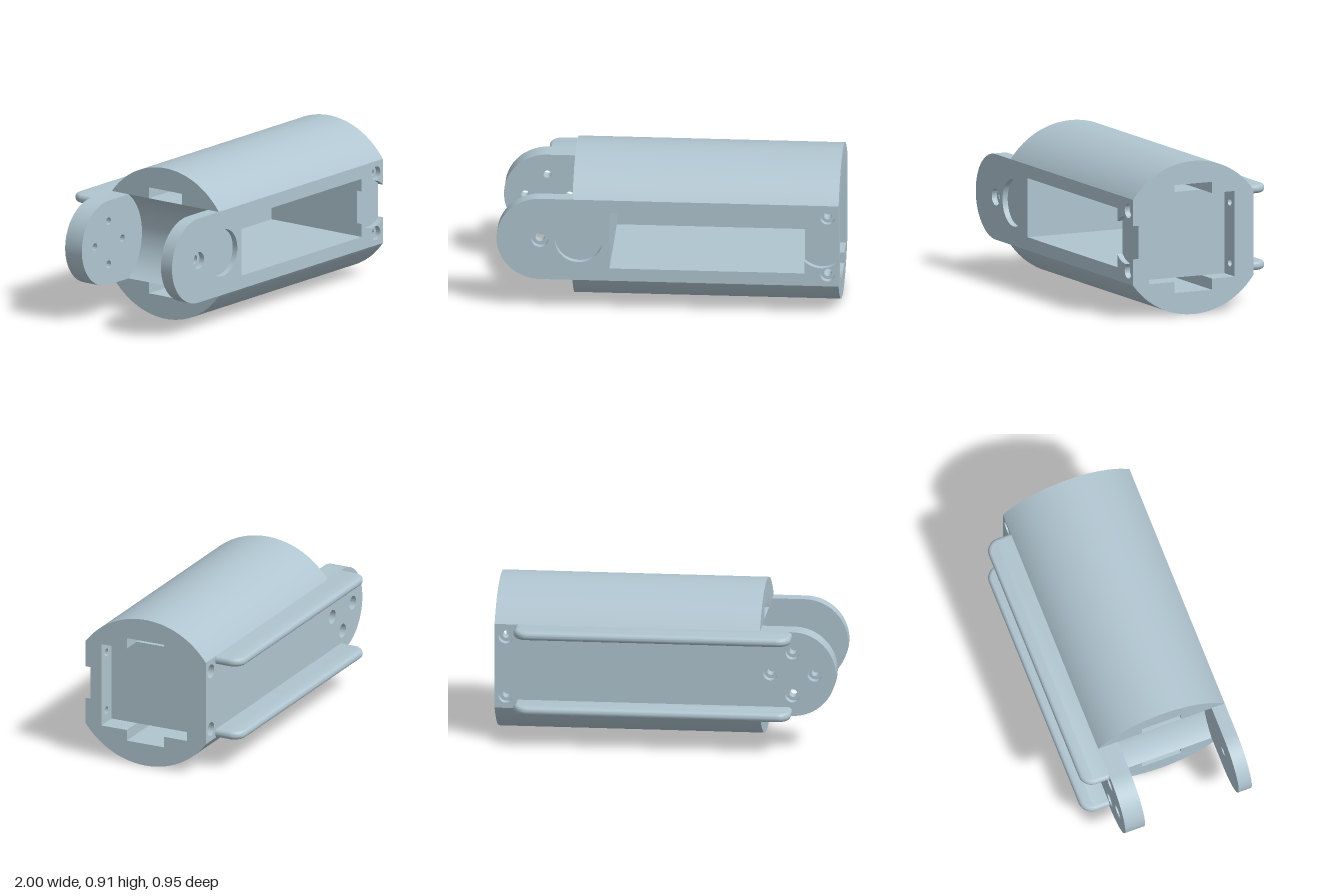
import * as THREE from 'three';
import { toCreasedNormals } from 'three/addons/utils/BufferGeometryUtils.js';

const LOW = 0.202, HIGH = 0.709, MID = 0.4555, HALF = 0.2535;
const PIVOT = -0.7465, END = -0.556;
const FRONT = 0.477, BACK = -0.313;

export function createModel() {
  const group = new THREE.Group();
  const shell = new THREE.MeshStandardMaterial({ color: 0xb0c5d0 });
  shell.name = 'pale blue grey';

  const add = (name, geometry) => {
    const mesh = new THREE.Mesh(toCreasedNormals(geometry, 0.5), shell);
    mesh.name = name;
    group.add(mesh);
    return mesh;
  };
  const circle = (x, y, r) => new THREE.Path().absarc(x, y, r, 0, Math.PI * 2, true);
  const rect = (x0, y0, x1, y1) => new THREE.Path([[x0, y0], [x0, y1], [x1, y1], [x1, y0]]
    .map(([x, y]) => new THREE.Vector2(x, y)));
  const windowHole = () => rect(-0.34, 0.28, 0.8, 0.63);
  const endHoles = r => [0.275, 0.635].map(y => circle(0.935, y, r));
  const armHoles = r => [0, 1, 2, 3].map(i => circle(
    PIVOT + 0.13 * Math.cos(i * Math.PI / 2), MID + 0.13 * Math.sin(i * Math.PI / 2), r));

  // Outline with a rounded arm on the pivot end
  const armOutline = () => {
    const s = new THREE.Shape();
    s.moveTo(1, HIGH);
    s.lineTo(PIVOT, HIGH);
    s.absarc(PIVOT, MID, HALF, Math.PI / 2, Math.PI * 1.5, false);
    s.lineTo(1, LOW);
    return s;
  };
  // Outline hollowed around the pivot for the swinging part
  const hollowOutline = right => {
    const s = new THREE.Shape();
    const a = Math.atan2(HALF, END - PIVOT);
    s.moveTo(right, HIGH);
    s.lineTo(END, HIGH);
    s.absarc(PIVOT, MID, Math.hypot(HALF, END - PIVOT), a, -a, true);
    s.lineTo(right, LOW);
    return s;
  };
  // Slab between two depths
  const slab = (name, shape, holes, z0, z1) => {
    shape.holes.push(...holes);
    const g = new THREE.ExtrudeGeometry(shape, { depth: z1 - z0, bevelEnabled: false, curveSegments: 32 });
    return add(name, g.translate(0, 0, z0));
  };

  // Front face: window joined to the round notch at the open end
  const face = armOutline();
  const n = Math.sqrt(0.14 ** 2 - 0.1 ** 2), a = Math.atan2(n, 0.1);
  face.lineTo(1, MID - n);
  face.absarc(0.9, MID, 0.14, -a, a - Math.PI, true);
  face.lineTo(0.8, 0.28);
  face.lineTo(-0.34, 0.28);
  face.lineTo(-0.34, 0.63);
  face.lineTo(0.8, 0.63);
  face.lineTo(0.8, MID + n);
  face.absarc(0.9, MID, 0.14, Math.PI - a, a, true);
  slab('frontFace', face, [circle(-0.52, MID, 0.14), circle(PIVOT, MID, 0.05), ...endHoles(0.042)], 0.443, FRONT);
  slab('frontArm', armOutline(), [windowHole(), circle(PIVOT, MID, 0.028), ...endHoles(0.023)], 0.395, 0.443);

  // Core with the deep window and the shallow pocket at the open end
  slab('frontWall', hollowOutline(1), [windowHole(), ...endHoles(0.023)], 0.372, 0.395);
  slab('core', hollowOutline(0.87), [windowHole()], -0.207, 0.372);
  slab('backWall', hollowOutline(1), endHoles(0.023), -0.207, -0.19);

  // Back arm with counterbored screw holes
  slab('backArm', armOutline(), [...endHoles(0.023), ...armHoles(0.023)], -0.265, -0.19);
  slab('backFace', armOutline(), [...endHoles(0.042), ...armHoles(0.042)], BACK, -0.265);

  // Curved top and bottom shells, each with a channel running their length
  const zc = (FRONT + BACK) / 2, w = (FRONT - BACK) / 2, sag = 0.2;
  const R = (w * w + sag * sag) / (2 * sag);
  for (const side of [1, -1]) {
    const s = new THREE.Shape();
    const base = side * HALF;
    const t = Math.asin(w / R);
    s.moveTo(-zc - w, base);
    s.lineTo(-0.205, base);
    s.lineTo(-0.205, base + side * 0.066);
    s.lineTo(0.04, base + side * 0.066);
    s.lineTo(0.04, base);
    s.lineTo(-zc + w, base);
    s.absarc(-zc, side * (HALF + sag - R), R,
      side * (Math.PI / 2 - t), side * (Math.PI / 2 + t), side < 0);
    const g = new THREE.ExtrudeGeometry(s, { depth: 1 - END, bevelEnabled: false, curveSegments: 48 });
    add(side > 0 ? 'topShell' : 'bottomShell', g.rotateY(Math.PI / 2).translate(END, MID, 0));
  }

  // Rounded rails along the back
  const rail = new THREE.Shape();
  const x0 = -0.745, x1 = 0.88, out = 0.477, r = 0.08;
  rail.moveTo(x0, 0.27);
  rail.lineTo(x1, 0.27);
  rail.lineTo(x1, out - r);
  rail.absarc(x1 - r, out - r, r, 0, Math.PI / 2, false);
  rail.lineTo(x0 + r, out);
  rail.absarc(x0 + r, out - r, r, Math.PI / 2, Math.PI, false);
  const b = 0.024, thick = 0.052;
  for (const [name, y] of [['upperRail', HIGH - thick], ['lowerRail', LOW]]) {
    const g = new THREE.ExtrudeGeometry(rail, {
      depth: thick - 2 * b, bevelEnabled: true, bevelThickness: b, bevelSize: b,
      bevelOffset: -b, bevelSegments: 6, curveSegments: 12,
    });
    add(name, g.rotateX(-Math.PI / 2).translate(0, y + b, 0));
  }
  return group;
}
